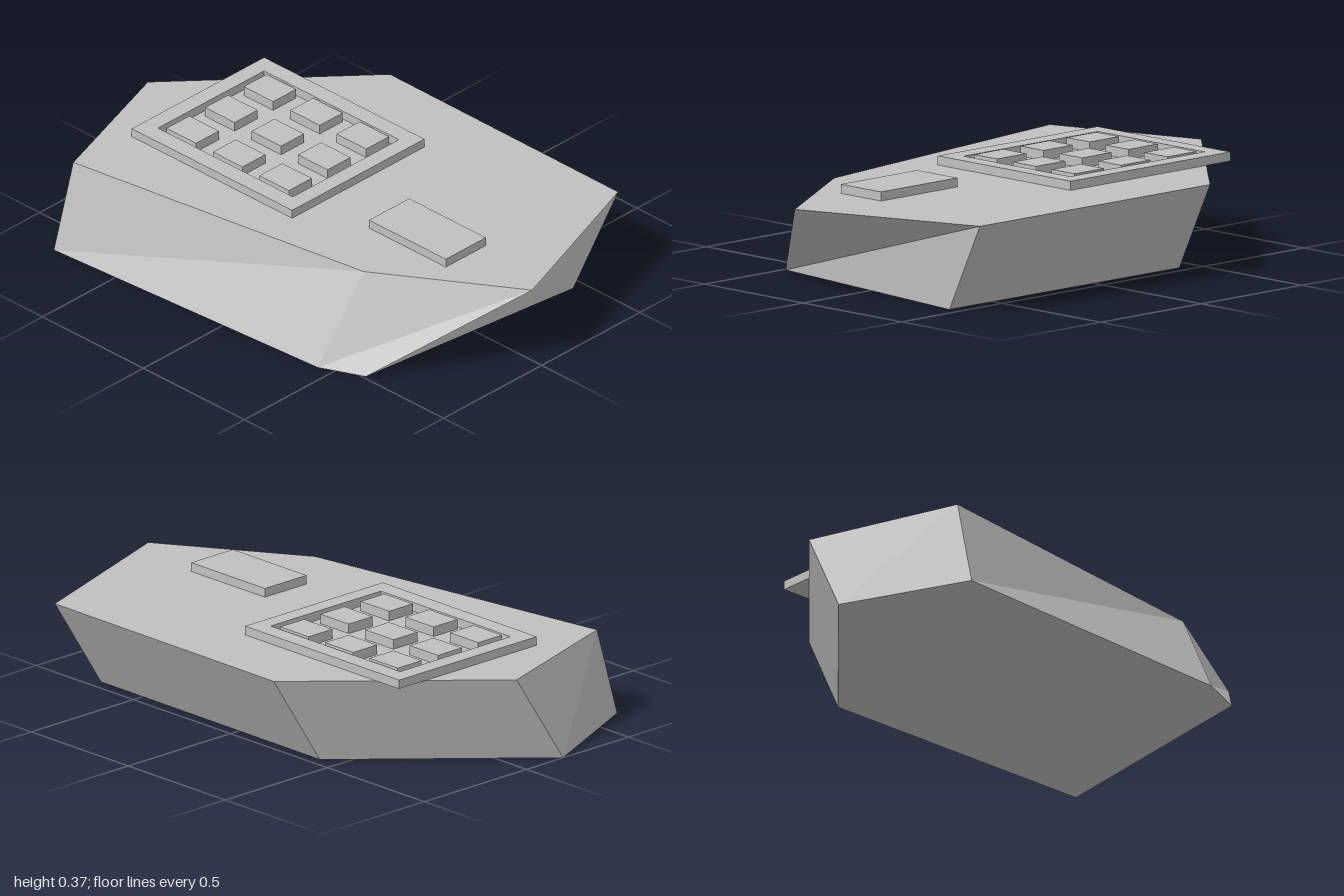
import * as THREE from 'three';

const TOP = 0.332;

// Faceted slab joining a top outline to an offset bottom outline (x, z pairs)
function slabGeometry(top, bottom) {
  const up = top.map(([x, z]) => [x, TOP, z]);
  const low = bottom.map(([x, z]) => [x, 0, z]);
  const n = up.length;
  const positions = [];
  const tri = (a, b, c) => positions.push(...a, ...b, ...c);
  for (let i = 0; i < n; i++) {
    const j = (i + 1) % n;
    tri(low[i], low[j], up[j]);
    tri(low[i], up[j], up[i]);
    if (i > 0 && j > 0) {
      tri(up[0], up[i], up[j]);
      tri(low[0], low[j], low[i]);
    }
  }
  const g = new THREE.BufferGeometry();
  g.setAttribute('position', new THREE.Float32BufferAttribute(positions, 3));
  g.computeVertexNormals();
  return g;
}

export function createModel() {
  const group = new THREE.Group();
  const grey = new THREE.MeshStandardMaterial({ color: 0xc0c0c0 });
  grey.name = 'light grey';

  const add = (name, geometry) => {
    const mesh = new THREE.Mesh(geometry, grey);
    mesh.name = name;
    group.add(mesh);
    return mesh;
  };

  // Box resting on the slab, given by its x and z limits
  const plate = (name, x0, x1, z0, z1, height) => {
    const mesh = add(name, new THREE.BoxGeometry(x1 - x0, height, z1 - z0));
    mesh.position.set((x0 + x1) / 2, TOP + height / 2, (z0 + z1) / 2);
  };

  // Irregular six-sided body
  add('body', slabGeometry(
    [[-0.965, 0.015 - 0.03], [-0.775, 0.56], [0.48, 0.372], [0.997, 0.045], [0.752, -0.645], [-0.385, -0.652]],
    [[-1, 0.18], [-0.787, 0.647], [0.44, 0.565], [0.606, 0.49], [0.716, -0.453], [-0.42, -0.46]]
  ));

  // Raised rectangular frame around the keys (shape y becomes -z)
  const rect = (path, x0, x1, z0, z1) => path
    .moveTo(x0, -z1).lineTo(x1, -z1).lineTo(x1, -z0).lineTo(x0, -z0).closePath();
  const shape = new THREE.Shape();
  rect(shape, -0.748, 0.046, -0.384, 0.29);
  const hole = new THREE.Path();
  rect(hole, -0.684, -0.016, -0.318, 0.222);
  shape.holes.push(hole);
  const frame = new THREE.ExtrudeGeometry(shape, { depth: 0.033, bevelEnabled: false });
  frame.rotateX(-Math.PI / 2);
  add('keypadFrame', frame).position.y = TOP;

  // Three by three keys
  for (let row = 0; row < 3; row++) {
    for (let col = 0; col < 3; col++) {
      const x = -0.658 + col * 0.23;
      const z = -0.305 + row * 0.197;
      plate('key', x, x + 0.146, z, z + 0.117, 0.036);
    }
  }

  // Small separate plate
  plate('sidePlate', 0.288, 0.668, -0.057, 0.147, 0.033);

  return group;
}
